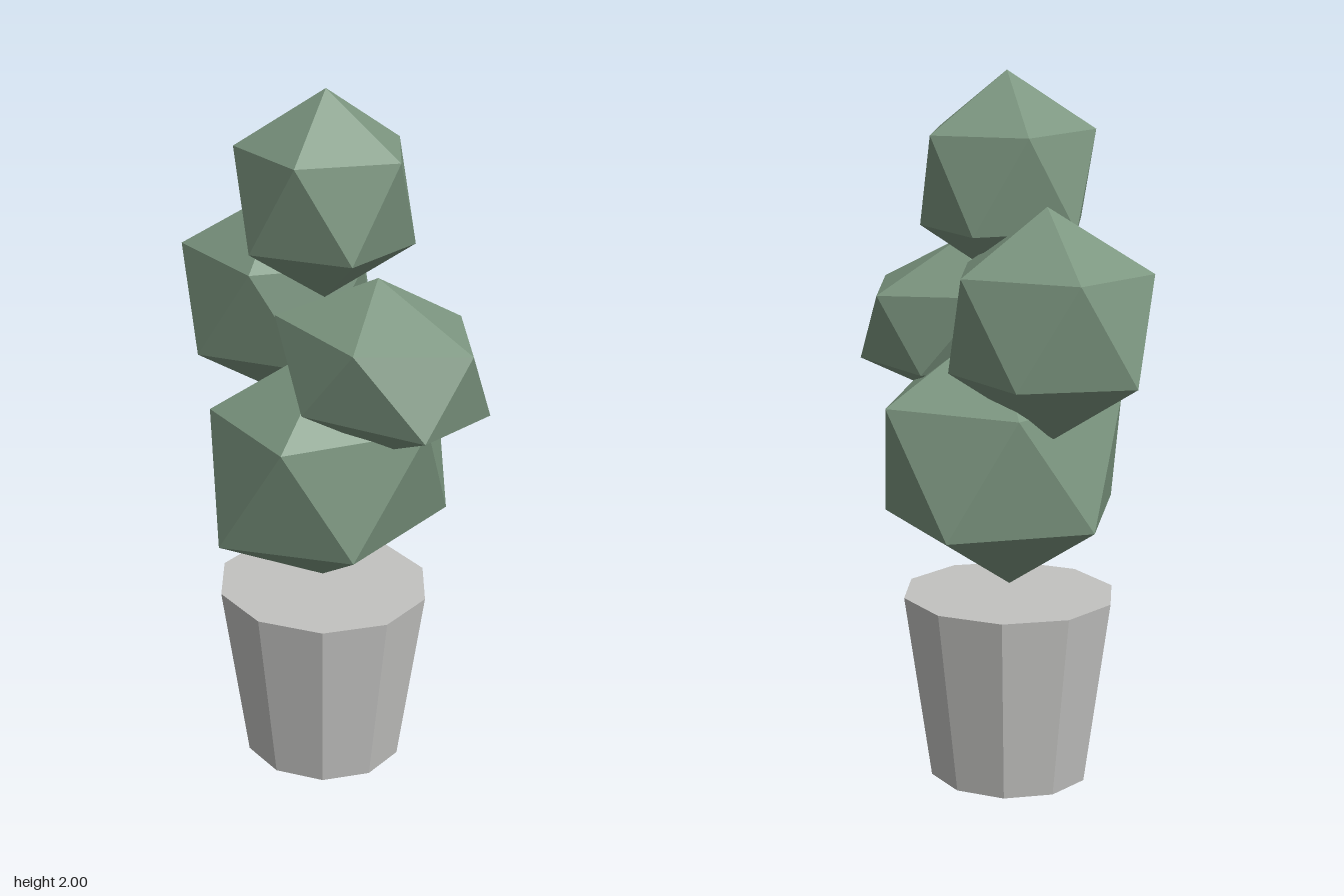
import * as THREE from 'three';

const leafGreen = new THREE.MeshStandardMaterial({ name: 'leafGreen', color: 0x7c9680, flatShading: true });
const potGrey = new THREE.MeshStandardMaterial({ name: 'potGrey', color: 0xc2c2c0, flatShading: true });

// Icosahedron standing on one corner, stretched along three slightly skewed axes
function foliage(name, centre, xAxis, yAxis, zAxis) {
  const geometry = new THREE.IcosahedronGeometry(1, 0);
  geometry.rotateZ(-Math.atan(2 / (1 + Math.sqrt(5))));
  const basis = new THREE.Matrix4().makeBasis(
    new THREE.Vector3(...xAxis),
    new THREE.Vector3(...yAxis),
    new THREE.Vector3(...zAxis),
  );
  geometry.applyMatrix4(basis);
  const mesh = new THREE.Mesh(geometry, leafGreen);
  mesh.name = name;
  mesh.position.set(...centre);
  return mesh;
}

export function createModel() {
  const model = new THREE.Group();
  model.name = 'pottedShrub';

  // Tapered ten-sided pot, slightly wider than deep
  const pot = new THREE.Mesh(new THREE.CylinderGeometry(0.297, 0.223, 0.535, 10), potGrey);
  pot.name = 'pot';
  pot.scale.x = 1.048;
  pot.position.set(0, 0.2675, -0.002);
  model.add(pot);

  // Four clumps of leaves, stacked from the bottom up
  model.add(
    foliage('lowerFoliage', [0.025, 0.935, 0], [0.36, 0.008, 0], [0.025, 0.375, 0], [0, 0, 0.418]),
    foliage('leftSideFoliage', [0.24, 1.29, 0.05], [0.337, -0.01, 0.01], [-0.025, 0.238, -0.01], [-0.002, 0.021, 0.284]),
    foliage('rightSideFoliage', [-0.235, 1.346, -0.105], [0.323, 0, 0], [0.015, 0.31, 0.003], [0, 0, 0.293]),
    foliage('topFoliage', [0.02, 1.71, 0.015], [0.273, 0.003, 0], [0.005, 0.29, 0.004], [0, 0.01, 0.268]),
  );
  return model;
}
